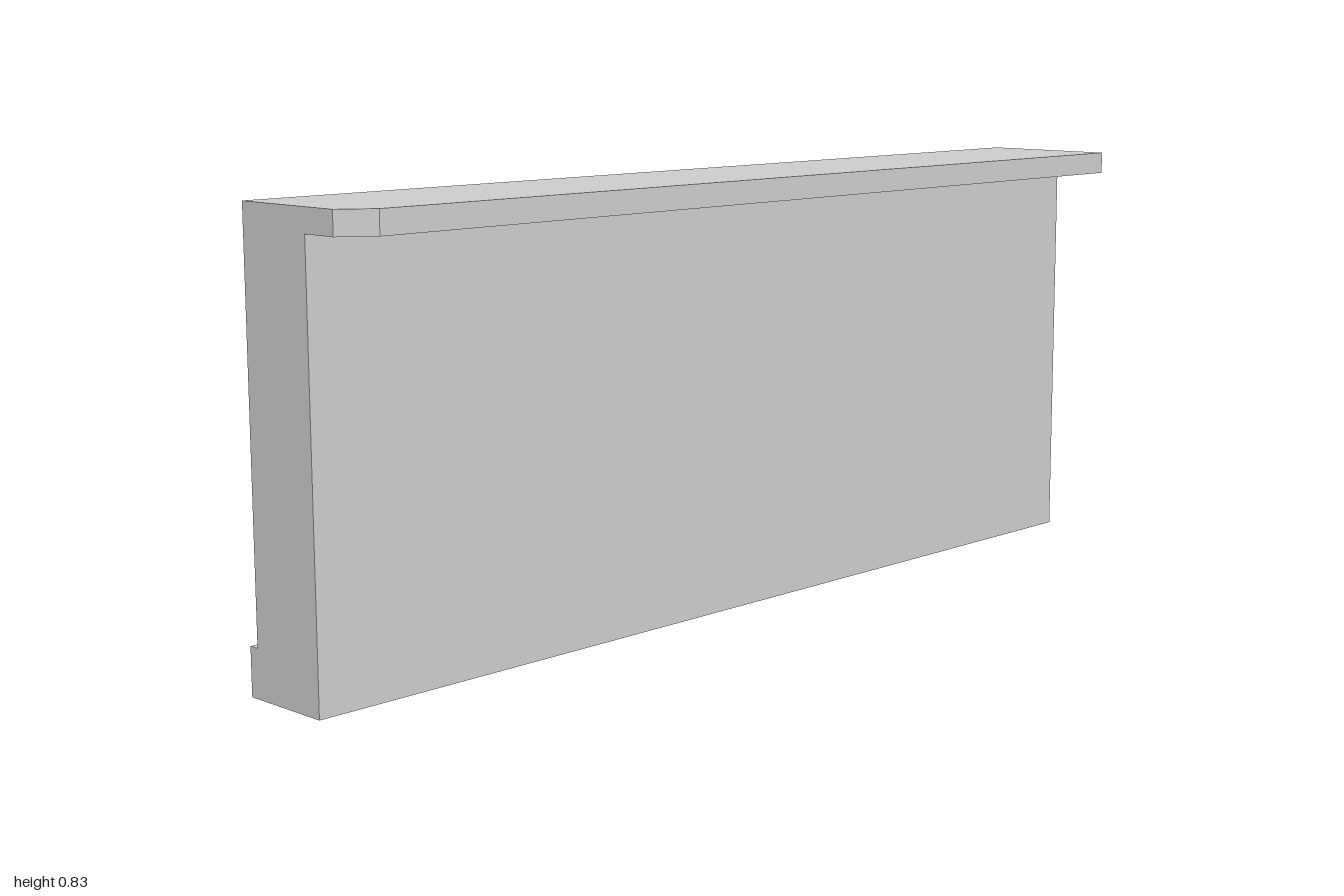
import * as THREE from 'three';

const BACK = -0.13, FRONT = 0.035;
const BASE_TOP = 0.088, SLAB_BOTTOM = 0.785, TOP = 0.828;

// Extrude a plan outline of [x, z] points from y0 up to y1
function extrudePlan(name, points, y0, y1, material) {
  const shape = new THREE.Shape(points.map(([x, z]) => new THREE.Vector2(x, -z)));
  const geometry = new THREE.ExtrudeGeometry(shape, { depth: y1 - y0, bevelEnabled: false });
  geometry.rotateX(-Math.PI / 2);
  geometry.translate(0, y0, 0);
  const mesh = new THREE.Mesh(geometry, material);
  mesh.name = name;
  return mesh;
}

export function createModel() {
  const group = new THREE.Group();
  group.name = 'counter';
  const material = new THREE.MeshStandardMaterial({ color: 0xcccccc });

  // Wall with narrow vertical grooves cut between the boards of its back face
  const grooves = [-0.857, -0.65, -0.36, -0.055, 0.197, 0.47, 0.732];
  const half = 0.005, depth = 0.01;
  const wall = [[1, FRONT], [-1, FRONT], [-1, BACK]];
  for (const x of grooves) {
    wall.push([x - half, BACK], [x - half, BACK + depth], [x + half, BACK + depth], [x + half, BACK]);
  }
  wall.push([1, BACK]);
  group.add(extrudePlan('grooveWall', wall, BASE_TOP, SLAB_BOTTOM, material));

  // Base with the skirting step at the back
  const base = [[1, FRONT], [-1, FRONT], [-1, -0.15], [1, -0.15]];
  group.add(extrudePlan('skirtingBase', base, 0, BASE_TOP, material));

  // Overhanging top with one clipped front corner
  const slab = [[1, 0.15], [-0.943, 0.15], [-1, 0.108], [-1, BACK], [1, BACK]];
  group.add(extrudePlan('counterTop', slab, SLAB_BOTTOM, TOP, material));

  return group;
}
